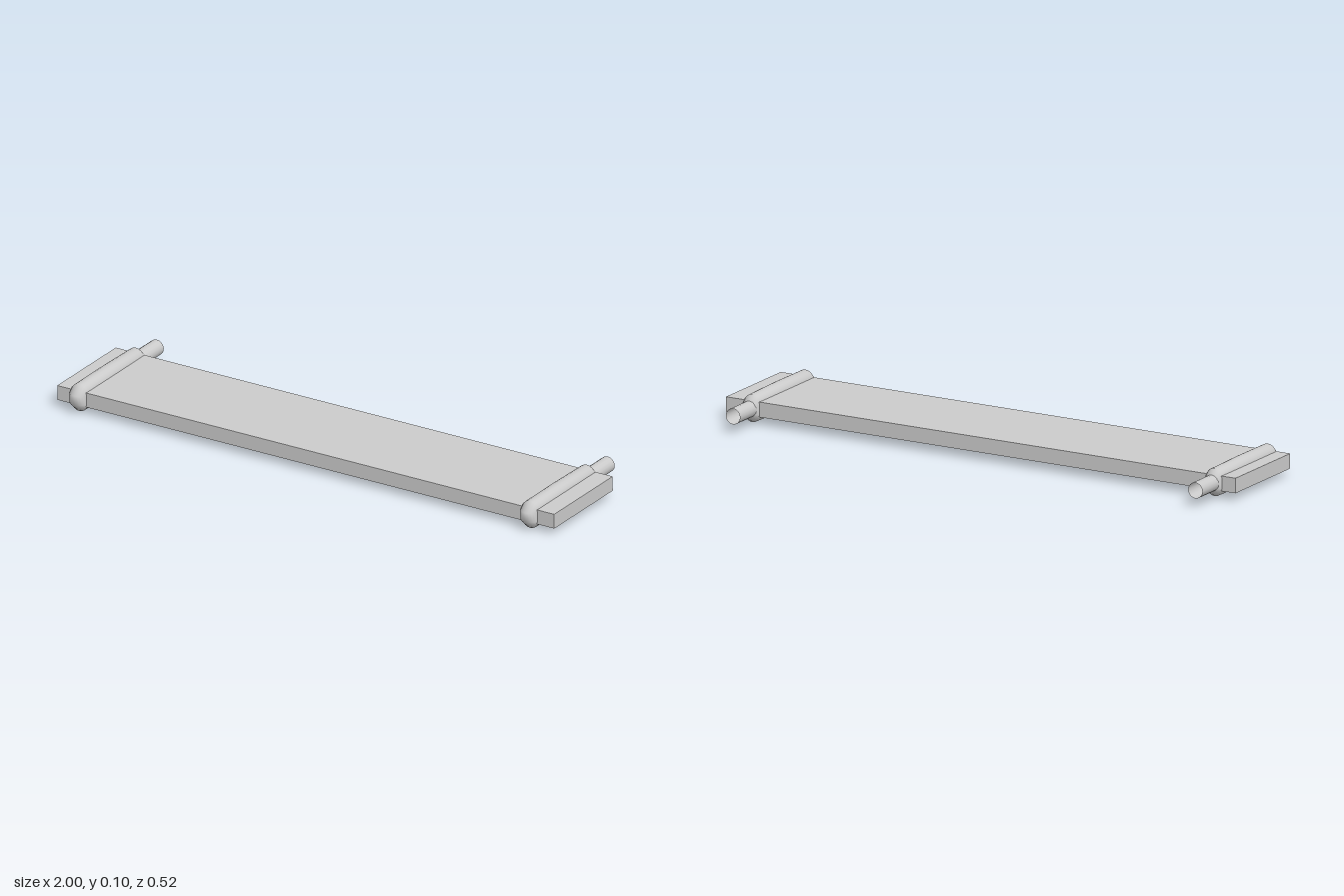
import * as THREE from 'three';

const grey = new THREE.MeshStandardMaterial({ color: 0xcccccc });
const greyOpen = new THREE.MeshStandardMaterial({ color: 0xcccccc, side: THREE.DoubleSide });
const ROPE = 0.033;

// Rope loop stations: centre z, centre y, outward angle in degrees (0 = front, 90 = up).
// Each corner has two stations sharing one centre, giving a single bevel.
const stations = [
  [0.228, 0.036, 0], [0.228, 0.07, 0],
  [0.228, 0.07, 90], [0.05, 0.0725, 90], [-0.129, 0.071, 90],
  [-0.129, 0.071, 180], [-0.129, 0.039, 180],
  [-0.129, 0.039, 270], [0.05, 0.034, 270], [0.228, 0.036, 270],
];

// Outer half of the rope swept round the plank; its open edges lie inside the wood
function ropeLoopGeometry(sides = 10) {
  const positions = [], index = [];
  const row = sides + 1, n = stations.length;
  for (const [z, y, deg] of stations) {
    const a = THREE.MathUtils.degToRad(deg);
    for (let j = 0; j <= sides; j++) {
      const t = -Math.PI / 2 + (Math.PI * j) / sides;
      const out = ROPE * Math.cos(t);
      positions.push(ROPE * Math.sin(t), y + out * Math.sin(a), z + out * Math.cos(a));
    }
  }
  for (let i = 0; i < n; i++) {
    for (let j = 0; j < sides; j++) {
      const a = i * row + j, b = ((i + 1) % n) * row + j;
      index.push(a, a + 1, b, a + 1, b + 1, b);
    }
  }
  const g = new THREE.BufferGeometry();
  g.setAttribute('position', new THREE.Float32BufferAttribute(positions, 3));
  g.setIndex(index);
  g.computeVertexNormals();
  return g;
}

export function createModel() {
  const model = new THREE.Group();
  model.name = 'swingSeat';

  // Plank, tipped very slightly forward
  const plank = new THREE.Mesh(new THREE.BoxGeometry(2, 0.053, 0.368), grey);
  plank.name = 'plank';
  plank.position.set(0, 0.054, 0.049);
  plank.rotation.x = 0.009;
  model.add(plank);

  // Rope round each end with a short tail at the back
  const loopGeometry = ropeLoopGeometry();
  const tailGeometry = new THREE.CylinderGeometry(0.028, 0.028, 0.12, 16, 1, true);
  tailGeometry.rotateX(-Math.PI / 2);
  for (const [side, x] of [['left', 0.9], ['right', -0.915]]) {
    const rope = new THREE.Group();
    rope.name = side + 'Rope';
    rope.position.x = x;
    const loop = new THREE.Mesh(loopGeometry, grey);
    loop.name = side + 'RopeLoop';
    const tail = new THREE.Mesh(tailGeometry, greyOpen);
    tail.name = side + 'RopeTail';
    tail.position.set(0, 0.057, -0.2);
    tail.rotation.x = 0.009;
    rope.add(loop, tail);
    model.add(rope);
  }
  return model;
}
